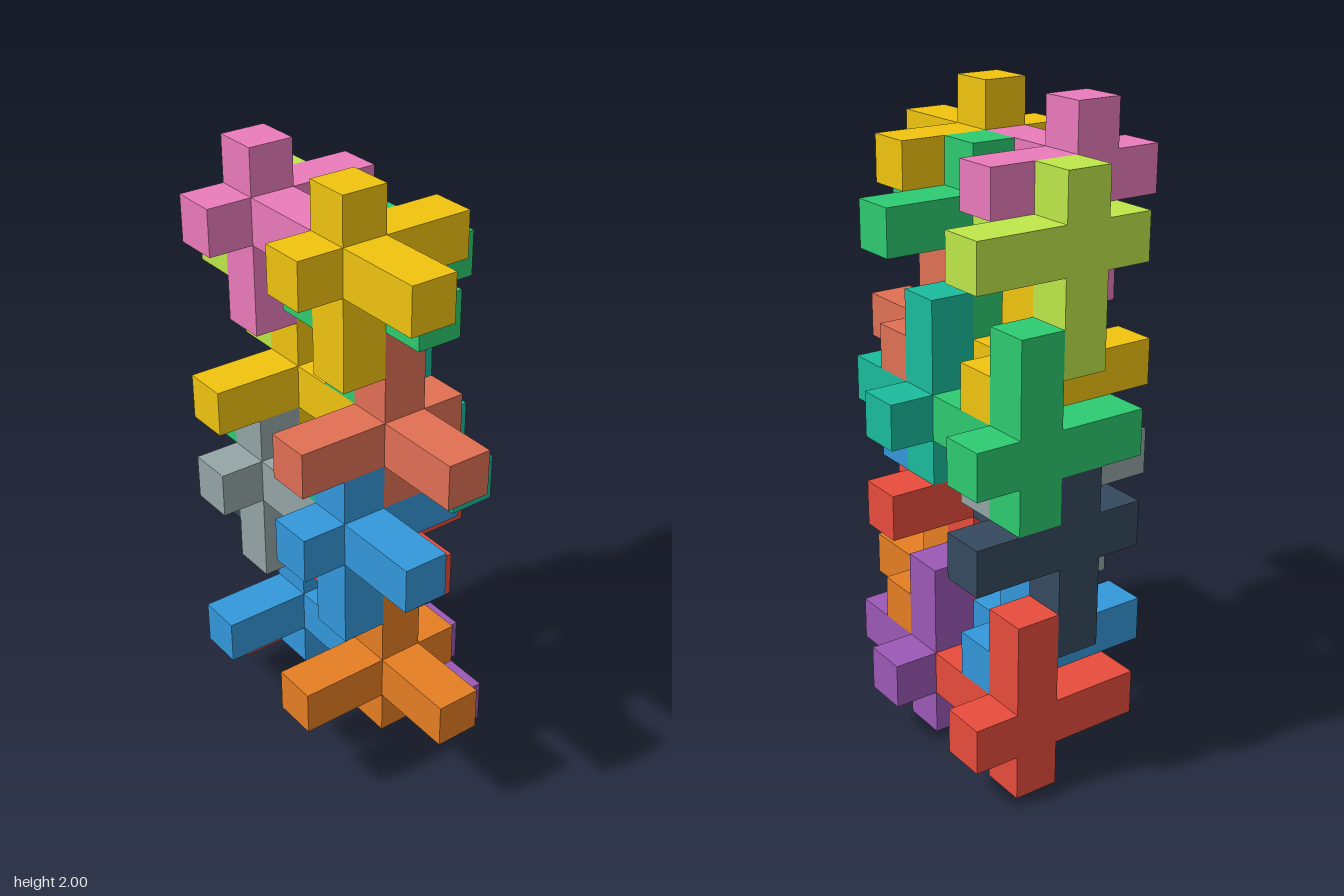
import * as THREE from 'three';

// Edge of one unit cube: the stack is 7 x 14 x 5 cubes
const U = 1 / 7;

// One bar of the piece, given its size and centre in cubes
function bar(name, size, centre, material) {
  const mesh = new THREE.Mesh(new THREE.BoxGeometry(...size.map((s) => s * U)), material);
  mesh.position.set(...centre).multiplyScalar(U);
  mesh.name = name;
  return mesh;
}

// Puzzle piece: a core cube with a long arm to +x, long arms down and back,
// and short arms up and forward
function makePiece(name, color) {
  const material = new THREE.MeshStandardMaterial({ color });
  const piece = new THREE.Group();
  piece.name = name;
  piece.add(
    bar('core', [1, 1, 1], [0, 0, 0], material),
    bar('sideArm', [2, 1, 1], [1.5, 0, 0], material),
    bar('longVerticalArm', [1, 2, 1], [0, -1.5, 0], material),
    bar('shortVerticalArm', [1, 1, 1], [0, 1, 0], material),
    bar('longDepthArm', [1, 1, 2], [0, 0, -1.5], material),
    bar('shortDepthArm', [1, 1, 1], [0, 0, 1], material),
  );
  return piece;
}

export function createModel() {
  const model = new THREE.Group();
  model.name = 'interlockingPuzzle';

  // Layers from bottom to top: core cell, whether the piece is turned over,
  // and the colours of the left-hand and right-hand piece of the pair
  const layers = [
    { core: [0, 1, -1], turned: true, colors: [0xe74c3c, 0x9b59b6] },
    { core: [1, 2, 0], turned: true, colors: [0x3498db, 0xe67e22] },
    { core: [0, 5, 0], turned: false, colors: [0x34495e, 0xe74c3c] },
    { core: [1, 6, 1], turned: false, colors: [0x95a5a6, 0x3498db] },
    { core: [0, 7, -1], turned: true, colors: [0x2ecc71, 0x1abc9c] },
    { core: [1, 8, 0], turned: true, colors: [0xf1c40f, 0xe17055] },
    { core: [0, 11, 0], turned: false, colors: [0xbfe84a, 0x2ecc71] },
    { core: [1, 12, 1], turned: false, colors: [0xeb7bbc, 0xf1c40f] },
  ];

  layers.forEach(({ core: [x, y, z], turned, colors }, layer) => {
    colors.forEach((color, i) => {
      const piece = makePiece(`layer${layer + 1}Piece${i + 1}`, color);
      piece.position.set(x + 3 * i - 3, y + 0.5, z).multiplyScalar(U);
      if (turned) piece.rotation.x = Math.PI;
      model.add(piece);
    });
  });

  return model;
}
